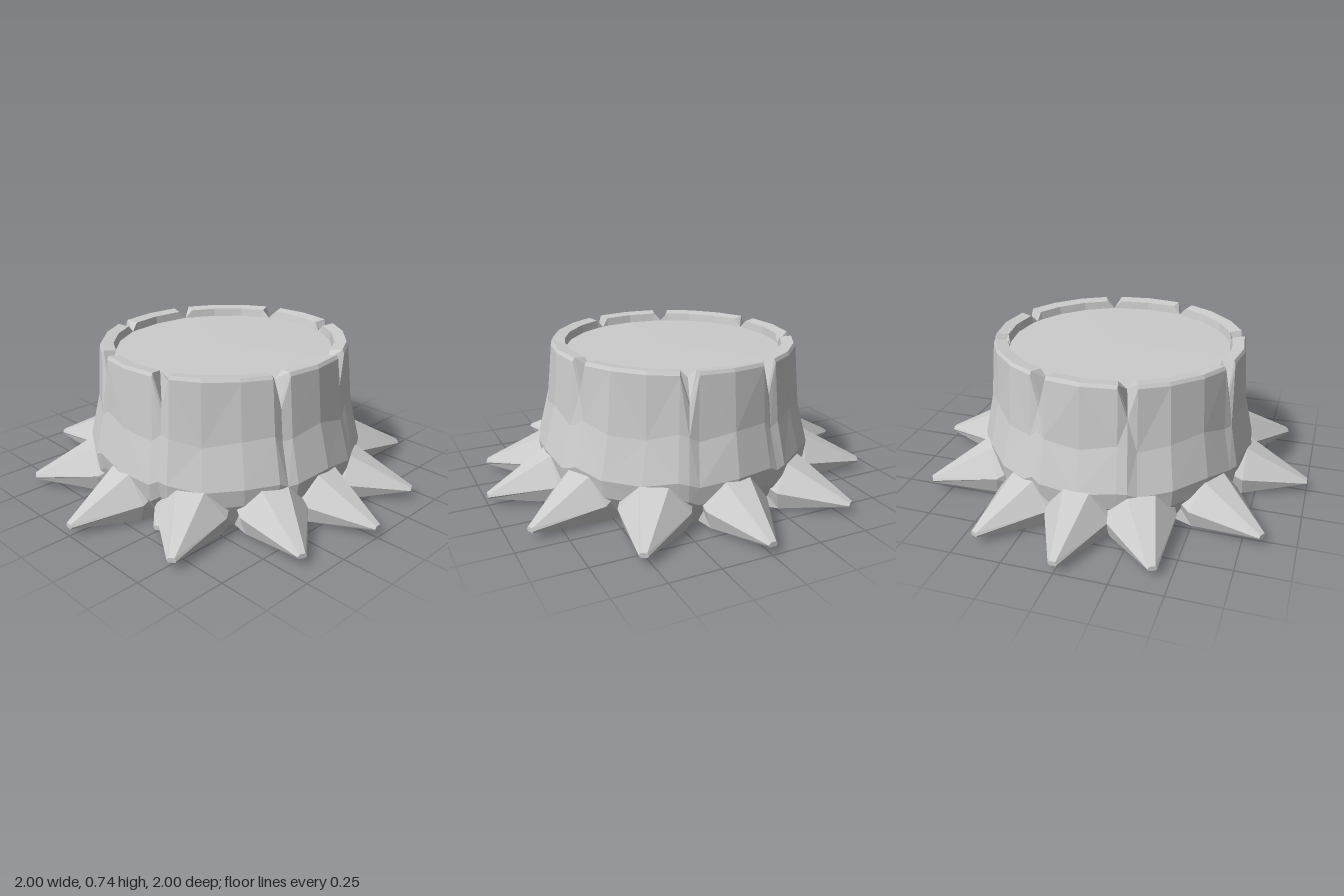
import * as THREE from 'three';

const material = new THREE.MeshStandardMaterial({ color: 0xcccccc, flatShading: true });
const rad = THREE.MathUtils.degToRad;

// Skin a stack of closed rings (arrays of [x, y, z]) with flat facets.
function loft(name, rings) {
  const pos = [];
  const n = rings[0].length;
  for (let k = 0; k < rings.length - 1; k++) {
    for (let i = 0; i < n; i++) {
      const j = (i + 1) % n;
      const a = rings[k][i], b = rings[k][j], c = rings[k + 1][j], d = rings[k + 1][i];
      // alternate the diagonal for a chipped, hewn look
      if ((i + k) % 2) pos.push(...a, ...d, ...c, ...a, ...c, ...b);
      else pos.push(...a, ...d, ...b, ...b, ...d, ...c);
    }
  }
  const geometry = new THREE.BufferGeometry();
  geometry.setAttribute('position', new THREE.Float32BufferAttribute(pos, 3));
  geometry.computeVertexNormals();
  const mesh = new THREE.Mesh(geometry, material);
  mesh.name = name;
  return mesh;
}

// Columns round the trunk: each quadrant has two notches and three rim plates.
function trunkColumns() {
  const columns = [];
  for (let q = 0; q < 4; q++) {
    const quadrant = [[0], [15.5], [19.5, true], [23.5], [37], [53], [66.5], [70.5, true], [74.5]];
    for (const [angle, notch] of quadrant) columns.push({ angle: rad(angle + q * 90), notch: !!notch });
  }
  return columns;
}

function createTrunk() {
  const columns = trunkColumns();
  const ring = (rx, rz, y, notchY = y, wobble = 0) => columns.map(({ angle, notch }, i) => {
    const s = 1 + wobble * Math.sin(i * 2.4);
    return [rx * s * Math.cos(angle), (notch ? notchY : y) + wobble * 2 * Math.cos(i * 1.9), rz * s * Math.sin(angle)];
  });
  return loft('trunk', [
    ring(0, 0, 0),
    ring(0.61, 0.61, 0),
    ring(0.685, 0.685, 0.14, 0.14, 0.01),
    ring(0.7, 0.7, 0.23, 0.23, 0.008),
    ring(0.64, 0.655, 0.44, 0.44, 0.012),
    ring(0.615, 0.638, 0.725, 0.575), // rim, cut down at the notches
    ring(0.605, 0.63, 0.742, 0.6),
    ring(0.545, 0.57, 0.735, 0.695),
    ring(0.54, 0.56, 0.695),
    ring(0, 0, 0.7), // cut face
  ]);
}

// A tapering, blunt root pointing along +x, then turned to its angle.
function createRoot(angle, length, width, height) {
  const section = (x, top, mid, low, yTop, yMid, yLow) => [
    [x, yLow, low], [x, yMid, mid], [x, yTop, top],
    [x, yTop, -top], [x, yMid, -mid], [x, yLow, -low],
  ];
  const tip = section(length, 0.014, 0.022, 0.016, 0.065, 0.052, 0.042);
  const root = loft('root', [
    section(0.55, 0.07 * width, 0.15 * width, 0.15 * width, height + 0.04, 0.16, 0.005),
    section(0.69, 0.06 * width, 0.155 * width, 0.13 * width, height, 0.1, 0.01),
    tip,
    tip.map(() => [length, 0.052, 0]),
  ]);
  root.rotation.y = -rad(angle);
  return root;
}

export function createModel() {
  const model = new THREE.Group();
  model.name = 'treeStump';
  model.add(createTrunk());

  const roots = new THREE.Group();
  roots.name = 'roots';
  for (const angle of [0, 90, 180, 270]) roots.add(createRoot(angle, 1, 1.05, 0.23));
  for (const a of [25, 57.5]) {
    for (const angle of [a, 180 - a, 180 + a, -a]) roots.add(createRoot(angle, 1, 1.1, 0.22));
  }
  // one stubby shoot beside the front root
  const shoot = createRoot(67.5, 0.78, 0.4, 0.14);
  shoot.name = 'smallRoot';
  roots.add(shoot);
  model.add(roots);
  return model;
}
